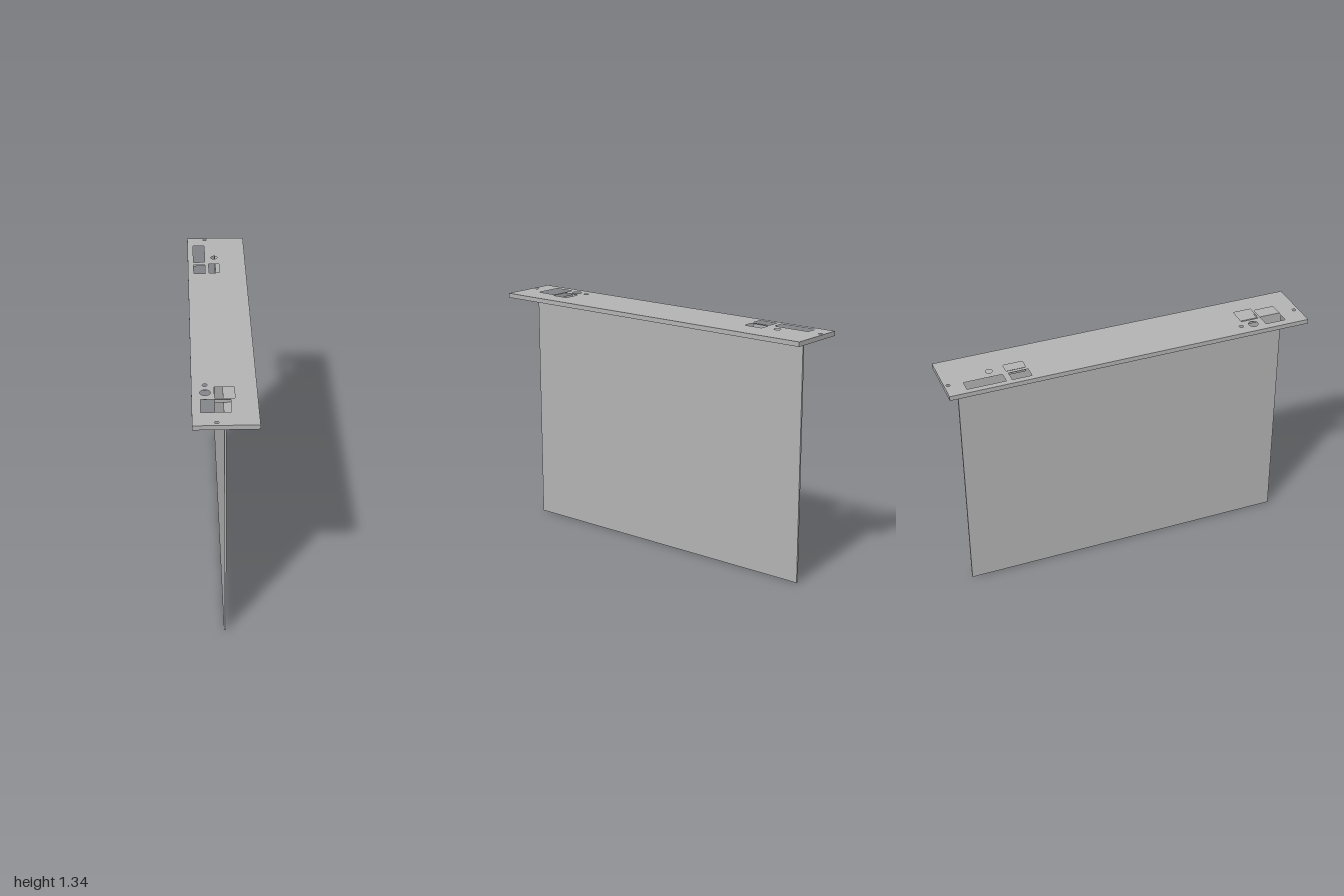
import * as THREE from 'three';

export function createModel() {
  const group = new THREE.Group();
  group.name = 'bracketPlate';
  const grey = new THREE.MeshStandardMaterial({ color: 0xb2b2b2 });
  grey.name = 'plainGrey';

  const add = (name, geometry) => {
    const mesh = new THREE.Mesh(geometry, grey);
    mesh.name = name;
    group.add(mesh);
  };
  const box = (name, x0, x1, y0, y1, z0, z1) => {
    const g = new THREE.BoxGeometry(x1 - x0, y1 - y0, z1 - z0);
    g.translate((x0 + x1) / 2, (y0 + y1) / 2, (z0 + z1) / 2);
    add(name, g);
  };

  // Outlines are drawn in plan, with shape y = -z
  const rect = (p, x0, x1, z0, z1) => {
    p.moveTo(x0, -z0).lineTo(x1, -z0).lineTo(x1, -z1).lineTo(x0, -z1).closePath();
    return p;
  };

  // Top plate with its connector openings
  const plate = rect(new THREE.Shape(), -0.162, 0.162, -1, 1);
  const slots = [
    [-0.13, -0.066, -0.9, -0.693],
    [-0.13, -0.066, -0.661, -0.556],
    [-0.045, 0.013, -0.667, -0.561],
    [-0.05, 0.05, 0.656, 0.757],
    [-0.119, 0.029, 0.77, 0.884],
  ];
  for (const s of slots) plate.holes.push(rect(new THREE.Path(), ...s));

  // Round holes: x, z, radius
  const rounds = [
    [-0.061, -0.979, 0.01],
    [-0.013, -0.749, 0.018],
    [-0.095, 0.635, 0.012],
    [-0.095, 0.706, 0.026],
    [-0.045, 0.974, 0.01],
  ];
  for (const [x, z, r] of rounds) {
    plate.holes.push(new THREE.Path().absarc(x, -z, r, 0, Math.PI * 2, true));
  }
  const top = new THREE.ExtrudeGeometry(plate, { depth: 0.025, bevelEnabled: false, curveSegments: 16 });
  top.rotateX(-Math.PI / 2);
  top.translate(0, 1.315, 0);
  add('topPlate', top);

  // Upright sheet and the folded flange under the plate
  box('uprightPanel', -0.007, 0.004, 0, 1.315, -0.918, 0.918);
  box('mountingFlange', 0.004, 0.101, 1.304, 1.315, -0.918, 0.918);

  return group;
}
